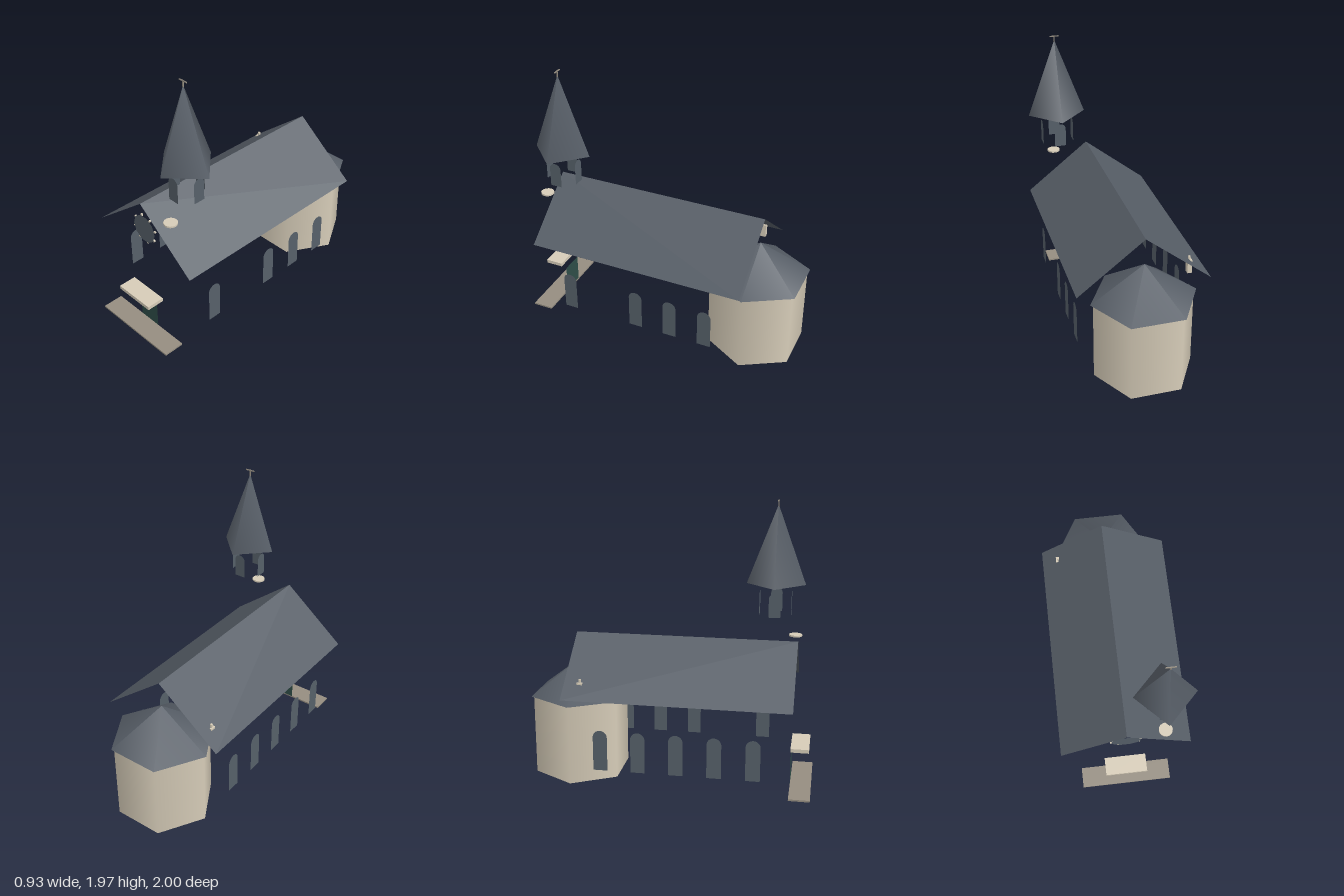
import * as THREE from 'three';

const mat = (name, color, side = THREE.FrontSide) => {
  const m = new THREE.MeshStandardMaterial({ color, side });
  m.name = name;
  return m;
};

export function createModel() {
  const root = new THREE.Group();
  root.name = 'church';
  const AXIS = -0.008; // centre line of the nave

  const slate = mat('slate', 0x565d66, THREE.DoubleSide);
  const plaster = mat('plaster', 0xd6ccb8, THREE.DoubleSide);
  const stone = mat('stone', 0x958d80);
  const glass = mat('glass', 0x566069, THREE.DoubleSide);
  const green = mat('doorGreen', 0x2f4d48, THREE.DoubleSide);

  const add = (name, geo, material, x, y, z, parent = root) => {
    const mesh = new THREE.Mesh(geo, material);
    mesh.name = name;
    mesh.position.set(x, y, z);
    parent.add(mesh);
    return mesh;
  };
  const box = (name, w, h, d, material, x, y, z, parent) =>
    add(name, new THREE.BoxGeometry(w, h, d), material, x, y, z, parent);

  // Flat round-headed opening, origin at the middle of its sill
  const archGeometry = (w, h) => {
    const r = w / 2, s = new THREE.Shape();
    s.moveTo(-r, 0);
    s.lineTo(r, 0);
    s.lineTo(r, h - r);
    s.absarc(0, h - r, r, 0, Math.PI, false);
    s.lineTo(-r, 0);
    return new THREE.ShapeGeometry(s, 12);
  };

  // Nave roof: two thin slopes, open at the gables
  const ridgeY = 1.035, eaveY = 0.67, half = 0.461, zF = 0.87, zB = -0.70;
  for (const side of [-1, 1]) {
    const g = new THREE.BufferGeometry();
    g.setAttribute('position', new THREE.Float32BufferAttribute([
      0, ridgeY, zF, 0, ridgeY, zB, side * half, eaveY, zB, side * half, eaveY, zF,
    ], 3));
    g.setIndex(side < 0 ? [0, 1, 2, 0, 2, 3] : [0, 2, 1, 0, 3, 2]);
    g.computeVertexNormals();
    add(side < 0 ? 'roofRight' : 'roofLeft', g, slate, AXIS, 0, 0);
  }

  // Nave windows, with one bay left blank on the left side
  const naveArch = archGeometry(0.1, 0.29);
  for (const side of [-1, 1]) {
    for (let i = 0; i < 5; i++) {
      if (side > 0 && i === 1) continue;
      const w = add('naveWindow', naveArch, glass, AXIS + side * 0.414, 0.16, 0.614 - i * 0.263);
      w.rotation.y = side * Math.PI / 2;
    }
  }

  // Hexagonal apse with its pointed roof
  const apseZ = -0.681;
  add('apseWall', new THREE.CylinderGeometry(0.348, 0.348, 0.575, 6, 1, true, Math.PI / 6),
    plaster, AXIS, 0.2975, apseZ);
  add('apseRoof', new THREE.ConeGeometry(0.367, 0.255, 6, 1, false, Math.PI / 6),
    slate, AXIS, 0.7125, apseZ);

  // Rose window ringed by small stone studs
  const rose = new THREE.Group();
  rose.name = 'roseWindow';
  rose.position.set(AXIS, 0.82, 0.85);
  root.add(rose);
  add('roseGlass', new THREE.CircleGeometry(0.105, 10), glass, 0, 0, 0, rose);
  for (let i = 0; i < 8; i++) {
    const a = (i + 0.3) * Math.PI / 4;
    const stud = box('roseStud', 0.016, 0.012, 0.012, plaster,
      Math.cos(a) * 0.104, Math.sin(a) * 0.104, -0.007, rose);
    stud.rotation.z = a;
  }

  // Entrance: door, canopy and step
  add('door', new THREE.PlaneGeometry(0.172, 0.208), green, AXIS - 0.002, 0.114, 0.852);
  box('doorCanopy', 0.304, 0.026, 0.128, plaster, AXIS - 0.002, 0.293, 0.914);
  box('entranceStep', 0.67, 0.012, 0.148, stone, AXIS, 0.006, 0.926);

  // Bell tower: louvres, dial, spire and finial
  const tower = new THREE.Group();
  tower.name = 'bellTower';
  tower.position.set(0.255, 0, 0.692);
  root.add(tower);
  const belfryArch = archGeometry(0.083, 0.173);
  for (let i = 0; i < 4; i++) {
    const a = i * Math.PI / 2;
    const w = add('belfryWindow', belfryArch, glass,
      Math.sin(a) * 0.113, 1.158, Math.cos(a) * 0.113, tower);
    w.rotation.y = a;
  }
  add('dial', new THREE.CylinderGeometry(0.047, 0.047, 0.012, 16), plaster, 0.003, 1.011, 0.149, tower);
  add('spire', new THREE.ConeGeometry(0.209, 0.56, 4), slate, 0, 1.658, 0, tower);
  box('finialRod', 0.007, 0.06, 0.007, stone, 0, 1.94, 0, tower);
  box('finialBar', 0.066, 0.007, 0.007, stone, 0, 1.965, 0, tower);

  // Small chimney on the right slope
  box('chimney', 0.032, 0.098, 0.04, plaster, -0.35, 0.716, -0.59);
  box('chimneyPot', 0.014, 0.026, 0.014, plaster, -0.35, 0.777, -0.59);

  return root;
}
